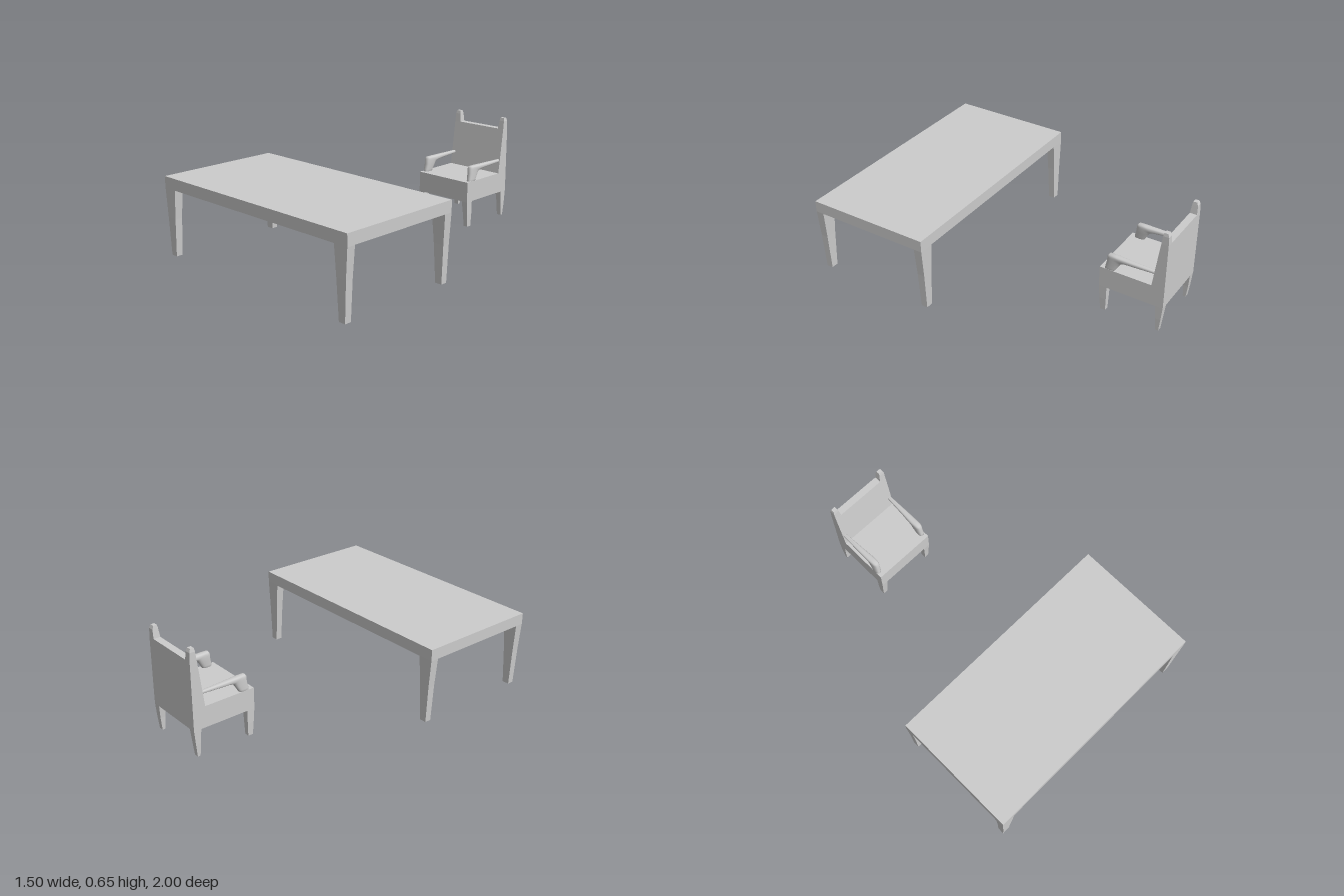
import * as THREE from 'three';

const material = new THREE.MeshStandardMaterial({ color: 0xcccccc });
const flat = new THREE.MeshStandardMaterial({ color: 0xcccccc, flatShading: true });

// Joins rings of points (bottom to top) into a closed skin with end caps.
function skin(rings) {
  const n = rings[0].length;
  const index = [];
  for (let r = 0; r < rings.length - 1; r++) {
    for (let i = 0; i < n; i++) {
      const a = r * n + i, b = r * n + (i + 1) % n;
      index.push(a, b, b + n, a, b + n, a + n);
    }
  }
  const top = (rings.length - 1) * n;
  for (let i = 1; i < n - 1; i++) {
    index.push(0, i + 1, i, top, top + i, top + i + 1);
  }
  const g = new THREE.BufferGeometry();
  g.setAttribute('position', new THREE.Float32BufferAttribute(rings.flat(2), 3));
  g.setIndex(index);
  g.computeVertexNormals();
  return g;
}

// Tapered block from rectangular sections [y, x0, x1, z0, z1], listed upwards.
// side = -1 mirrors it across x = 0.
function block(name, sections, side = 1) {
  const rings = sections.map(([y, x0, x1, z0, z1]) => {
    const [a, b] = side > 0 ? [x0, x1] : [-x1, -x0];
    return [[a, y, z1], [b, y, z1], [b, y, z0], [a, y, z0]];
  });
  const geometry = skin(rings).toNonIndexed();
  geometry.computeVertexNormals();
  const mesh = new THREE.Mesh(geometry, flat);
  mesh.name = name;
  return mesh;
}

// Armrest: rounded sections between a front/top and a back/bottom edge point,
// rising from the seat and bending back to the chair back.
function armrest(name, side) {
  // [front z, front y, back z, back y, inner x, outer x]
  const sections = [
    [-0.625, 0.285, -0.685, 0.285, 0.163, 0.2],
    [-0.628, 0.31, -0.695, 0.305, 0.162, 0.2],
    [-0.635, 0.345, -0.71, 0.33, 0.158, 0.2],
    [-0.637, 0.378, -0.72, 0.346, 0.157, 0.2],
    [-0.647, 0.391, -0.732, 0.354, 0.157, 0.2],
    [-0.69, 0.391, -0.755, 0.359, 0.158, 0.2],
    [-0.78, 0.389, -0.80, 0.362, 0.164, 0.199],
    [-0.94, 0.386, -0.94, 0.369, 0.174, 0.195],
  ];
  const steps = 20;
  const soften = (v) => Math.sign(v) * Math.abs(v) ** 0.75;
  const rings = sections.map(([fz, fy, bz, by, x0, x1]) =>
    Array.from({ length: steps }, (_, i) => {
      const t = (i / steps) * Math.PI * 2;
      const c = soften(Math.cos(t)), s = soften(Math.sin(t));
      return [
        side * (x0 + x1) / 2 + s * (x1 - x0) / 2,
        (fy + by) / 2 + c * (fy - by) / 2,
        (fz + bz) / 2 + c * (fz - bz) / 2,
      ];
    }));
  const mesh = new THREE.Mesh(skin(rings), material);
  mesh.name = name;
  return mesh;
}

function createTable() {
  const table = new THREE.Group();
  table.name = 'table';
  table.add(block('tableTop', [
    [0.405, -0.75, 0.75, 0.225, 1],
    [0.475, -0.75, 0.75, 0.225, 1],
  ]));
  for (const [label, side] of [['left', 1], ['right', -1]]) {
    table.add(block(label + 'FrontTableLeg', [
      [0, 0.682, 0.726, 0.957, 0.997],
      [0.23, 0.67, 0.737, 0.953, 0.999],
      [0.41, 0.657, 0.75, 0.948, 1],
    ], side));
    table.add(block(label + 'BackTableLeg', [
      [0, 0.682, 0.726, 0.23, 0.27],
      [0.23, 0.67, 0.737, 0.227, 0.273],
      [0.41, 0.657, 0.75, 0.225, 0.278],
    ], side));
  }
  return table;
}

function createChair() {
  const chair = new THREE.Group();
  chair.name = 'chair';
  chair.add(block('seat', [
    [0.165, -0.2, 0.2, -1, -0.6],
    [0.295, -0.2, 0.2, -1, -0.6],
  ]));
  // Back panel leaning slightly, flush with the rear of the seat
  chair.add(block('backrest', [
    [0.29, -0.2, 0.2, -1, -0.92],
    [0.583, -0.2, 0.2, -1, -0.957],
  ]));
  for (const [label, side] of [['left', 1], ['right', -1]]) {
    chair.add(block(label + 'BackPostTip', [
      [0.58, 0.157, 0.2, -1, -0.957],
      [0.635, 0.164, 0.199, -0.998, -0.963],
      [0.655, 0.167, 0.195, -0.99, -0.967],
    ], side));
    chair.add(block(label + 'FrontLeg', [
      [0, 0.167, 0.196, -0.645, -0.613],
      [0.08, 0.164, 0.199, -0.648, -0.607],
      [0.17, 0.157, 0.2, -0.649, -0.6],
    ], side));
    chair.add(block(label + 'BackLeg', [
      [0, 0.167, 0.196, -0.983, -0.965],
      [0.08, 0.164, 0.199, -0.992, -0.961],
      [0.17, 0.157, 0.2, -1, -0.953],
    ], side));
    chair.add(armrest(label + 'Armrest', side));
  }
  return chair;
}

export function createModel() {
  const model = new THREE.Group();
  model.name = 'tableAndChair';
  model.add(createTable(), createChair());
  return model;
}
